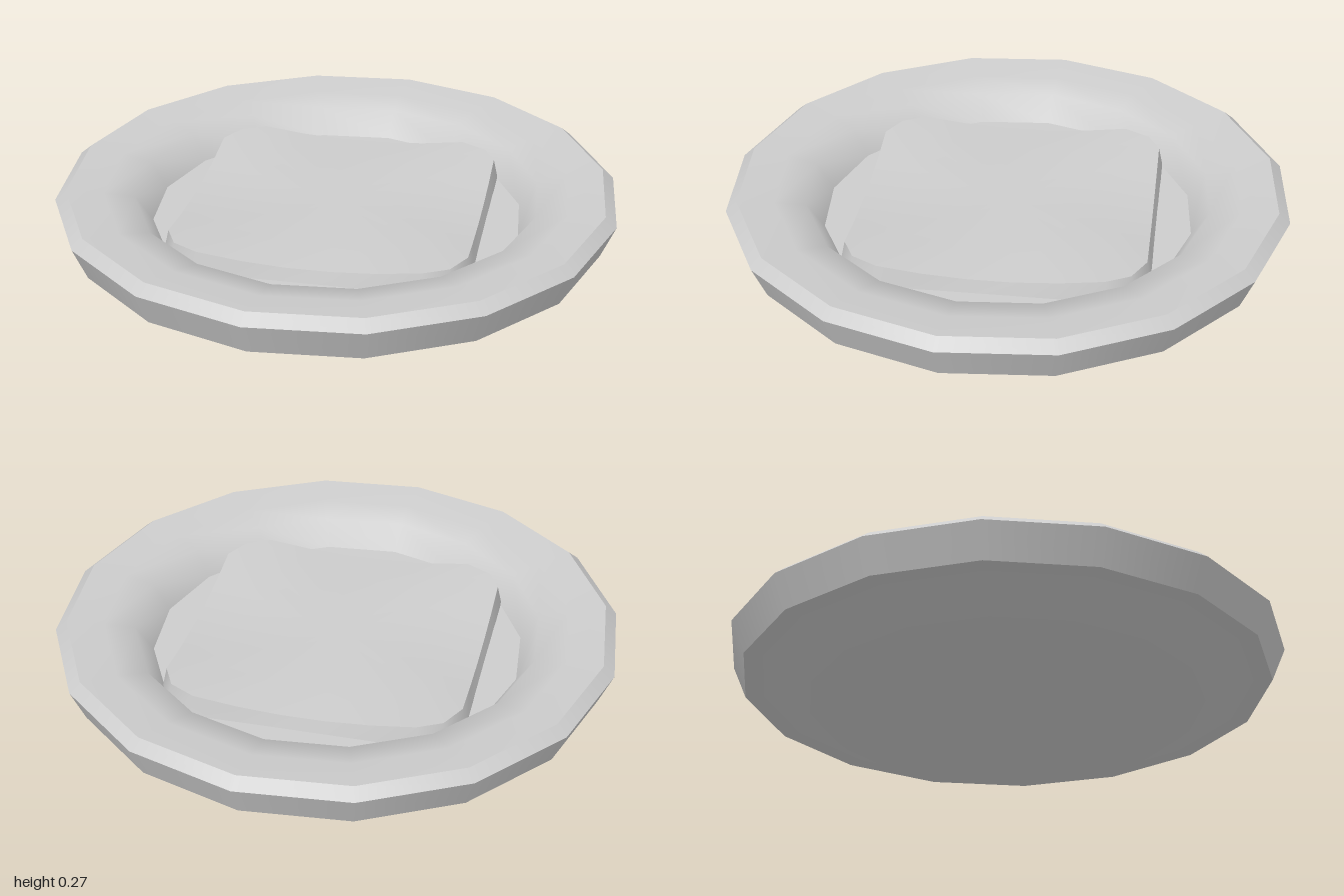
import * as THREE from 'three';

const SIDES = 16;
const grey = new THREE.MeshStandardMaterial({ color: 0xcccccc });
grey.name = 'pale grey';

// One smooth band of the dish; profile is [flat-side radius, height], listed bottom-out to top-in
function band(name, profile) {
  const k = 1 / Math.cos(Math.PI / SIDES);
  const points = profile.map(([r, y]) => new THREE.Vector2(r * k, y));
  const mesh = new THREE.Mesh(new THREE.LatheGeometry(points, SIDES, Math.PI / SIDES), grey);
  mesh.name = name;
  return mesh;
}

// Rounded square outline with softly lifted corners: [x, z, lift]
function slabOutline() {
  const corner = [[-0.3, -0.61], [-0.21, -0.672], [-0.11, -0.672]];
  const next = [0.61, -0.3];
  const edge = [0.2, 0.4, 0.6, 0.8].map((t) => [
    THREE.MathUtils.lerp(corner[2][0], next[0], t),
    THREE.MathUtils.lerp(corner[2][1], next[1], t),
    (2 * t - 1) ** 2,
  ]);
  let quarter = [...corner.map(([x, z]) => [x, z, 1]), ...edge];
  const outline = [];
  for (let q = 0; q < 4; q++) {
    outline.push(...quarter);
    quarter = quarter.map(([x, z, l]) => [-z, x, l]);
  }
  return outline;
}

// Skin between successive scaled copies of the outline; rings are [scale, base height, lift amount]
function skin(name, outline, rings) {
  const positions = [], index = [], n = outline.length;
  for (const [s, y, lift] of rings) {
    for (const [x, z, l] of outline) positions.push(x * s, y + lift * l, z * s);
  }
  for (let r = 0; r < rings.length - 1; r++) {
    for (let i = 0; i < n; i++) {
      const a = r * n + i, b = r * n + (i + 1) % n;
      index.push(a, a + n, b, b, a + n, b + n);
    }
  }
  const geometry = new THREE.BufferGeometry();
  geometry.setAttribute('position', new THREE.Float32BufferAttribute(positions, 3));
  geometry.setIndex(index);
  geometry.computeVertexNormals();
  const mesh = new THREE.Mesh(geometry, grey);
  mesh.name = name;
  return mesh;
}

export function createModel() {
  const model = new THREE.Group();
  model.name = 'dish';

  // Dish shell
  model.add(
    band('underside', [[0, 0], [0.66, 0], [0.8, 0.115], [0.95, 0.115]]),
    band('outerRim', [[0.95, 0.115], [1, 0.235]]),
    band('rimBevel', [[1, 0.235], [0.96, 0.27]]),
    band('innerSlope', [[0.96, 0.27], [0.83, 0.255], [0.72, 0.235], [0.66, 0.14]]),
    band('floor', [[0.66, 0.14], [0, 0.14]]),
  );

  // Square slab lying in the dish
  const slab = new THREE.Group();
  slab.name = 'slab';
  const outline = slabOutline();
  slab.add(
    skin('slabSide', outline, [[1, 0.12, 0], [0.965, 0.185, 0.03]]),
    skin('slabTop', outline, [[0.965, 0.185, 0.03], [0.65, 0.19, 0.01], [0.3, 0.192, 0], [0.001, 0.192, 0]]),
  );
  model.add(slab);
  return model;
}
